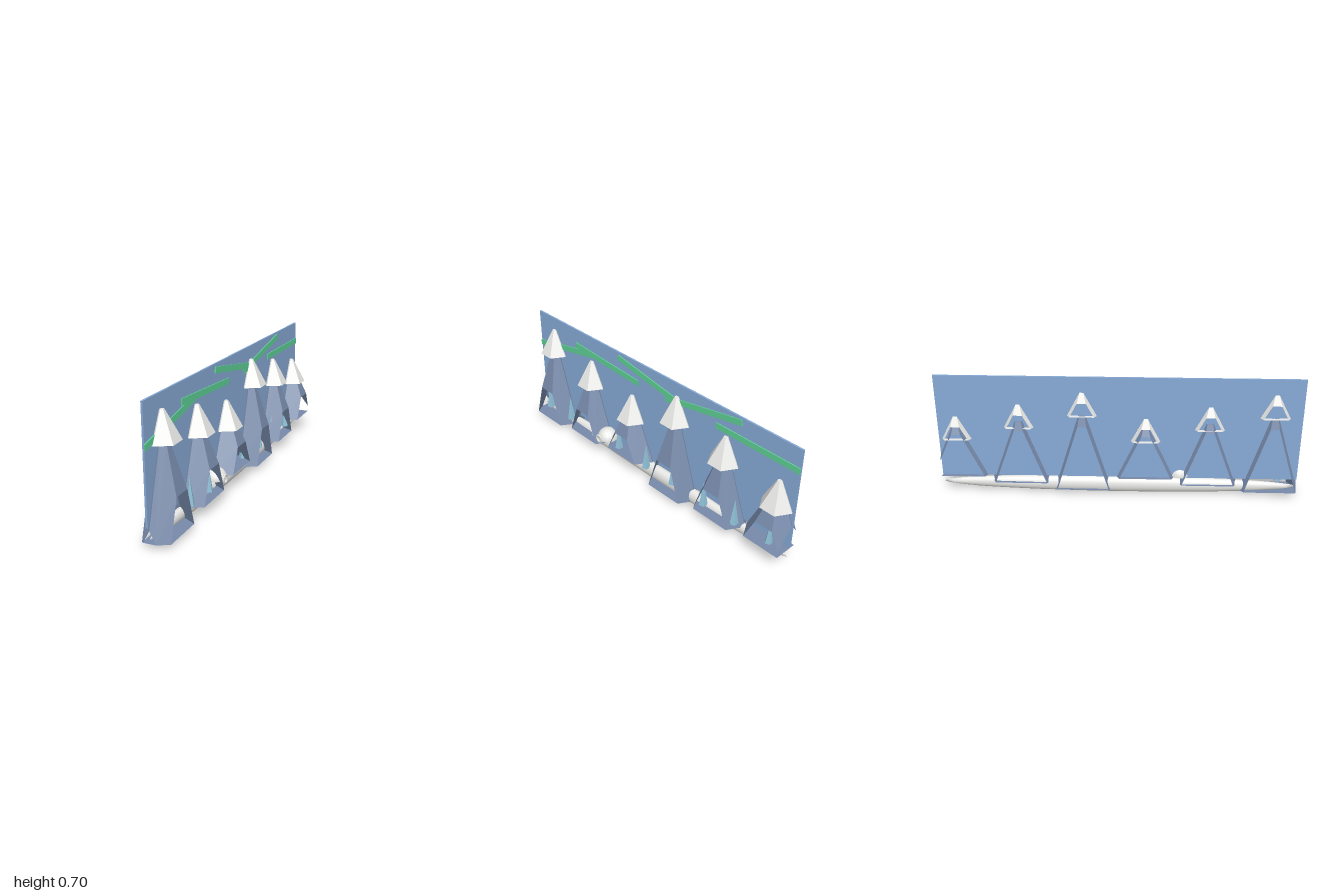
import * as THREE from 'three';

const CX = -0.025; // depth axis shared by peaks and ground
const mat = (name, color, extra = {}) => {
  const m = new THREE.MeshStandardMaterial({ color, ...extra });
  m.name = name;
  return m;
};

// Keep the side of a polygon where sign * p[axis] <= limit
function clip(poly, axis, sign, limit) {
  const out = [];
  poly.forEach((p, i) => {
    const q = poly[(i + 1) % poly.length];
    const a = limit - sign * p.getComponent(axis);
    const b = limit - sign * q.getComponent(axis);
    if (a >= 0) out.push(p);
    if (a * b < 0) out.push(p.clone().lerp(q, a / (a - b)));
  });
  return out;
}

// Hexagonal frustum trimmed to the slim slab of the model, left open at the cuts
function trimmedFrustum(z, y0, y1, r0, r1) {
  const ring = (y, r) => Array.from({ length: 6 }, (_, k) => {
    const a = k * Math.PI / 3;
    return new THREE.Vector3(CX + r * Math.sin(a), y, z + r * Math.cos(a));
  });
  const lo = ring(y0, r0), hi = ring(y1, r1);
  const faces = [hi, [...lo].reverse()];
  for (let k = 0; k < 6; k++) {
    const n = (k + 1) % 6;
    faces.push([lo[k], lo[n], hi[n], hi[k]]);
  }
  const pts = [];
  for (let f of faces) {
    f = clip(f, 0, 1, 0.067);
    f = clip(f, 0, -1, 0.068);
    f = clip(f, 2, 1, 1);
    f = clip(f, 2, -1, 1);
    for (let i = 1; i < f.length - 1; i++) pts.push(f[0], f[i], f[i + 1]);
  }
  const g = new THREE.BufferGeometry().setFromPoints(pts);
  g.computeVertexNormals();
  return g;
}

export function createModel() {
  const root = new THREE.Group();
  root.name = 'winterDiorama';
  const open = { side: THREE.DoubleSide };
  const sky = mat('sky blue', 0x87aad6);
  const rock = mat('slate blue', 0x778aaa, open);
  const snow = mat('snow white', 0xeaeae8, open);
  const ice = mat('ice blue', 0x8fc0d6, { flatShading: true });
  const green = mat('aurora green', 0x5ed096);

  const add = (name, geo, material, x = 0, y = 0, z = 0, parent = root) => {
    const m = new THREE.Mesh(geo, material);
    m.name = name;
    m.position.set(x, y, z);
    parent.add(m);
    return m;
  };

  // Backdrop panel
  add('skyPanel', new THREE.BoxGeometry(0.01, 0.6, 2), sky, -0.038, 0.4, 0);

  // Long flattened snow mound
  add('snowGround', new THREE.SphereGeometry(1, 20, 16), snow, CX, 0.048, 0)
    .scale.set(0.034, 0.048, 1);

  // Six peaks in three repeating heights, each with a snow cap
  [0.85, 0.5, 0.15, -0.2, -0.55, -0.9].forEach((z, i) => {
    const h = 0.45 - 0.075 * (i % 3);
    const peak = new THREE.Group();
    peak.name = 'peak';
    root.add(peak);
    add('mountain', trimmedFrustum(z, 0.25 - h / 2, 0.25 + h / 2, 0.17, 0.031), rock, 0, 0, 0, peak);
    const capY = h + 0.025;
    add('snowCap', trimmedFrustum(z, capY, capY + 0.15, 0.092, 0.013), snow, 0, 0, 0, peak);
  });

  // Ice spikes along the base
  for (let i = 0; i < 9; i++) {
    const y = i % 2 ? 0.165 : 0.15;
    add('iceSpike', new THREE.ConeGeometry(0.026, 0.155, 5), ice, 0.008 + (i % 2) * 0.008, y, 0.9 - i * 0.225);
  }

  // Aurora ribbons: start z, y and end z, y
  [
    [1.0, 0.487, 0.5, 0.588],
    [0.65, 0.6, 0.105, 0.571],
    [0.27, 0.668, -0.17, 0.594],
    [-0.11, 0.574, -0.64, 0.674],
    [-0.475, 0.58, -1.0, 0.58],
  ].forEach(([z0, y0, z1, y1]) => {
    const len = Math.hypot(z1 - z0, y1 - y0);
    add('auroraRibbon', new THREE.BoxGeometry(0.006, 0.034, len), green, -0.03, (y0 + y1) / 2, (z0 + z1) / 2)
      .rotation.x = Math.atan2(y1 - y0, z0 - z1);
  });

  // Snow hut with a round doorway
  const hut = new THREE.Group();
  hut.name = 'snowHut';
  hut.position.set(0, 0.105, 0.345);
  root.add(hut);
  add('dome', new THREE.SphereGeometry(0.062, 16, 8, 0, Math.PI * 2, 0, Math.PI / 2), snow, 0, 0, 0, hut);
  add('doorTunnel', new THREE.CylinderGeometry(0.026, 0.026, 0.03, 12, 1, true), snow, 0.047, 0.008, 0.01, hut)
    .rotation.z = Math.PI / 2;
  add('doorRing', new THREE.TorusGeometry(0.022, 0.007, 6, 12), snow, 0.059, 0.008, 0.01, hut)
    .rotation.y = Math.PI / 2;

  return root;
}
